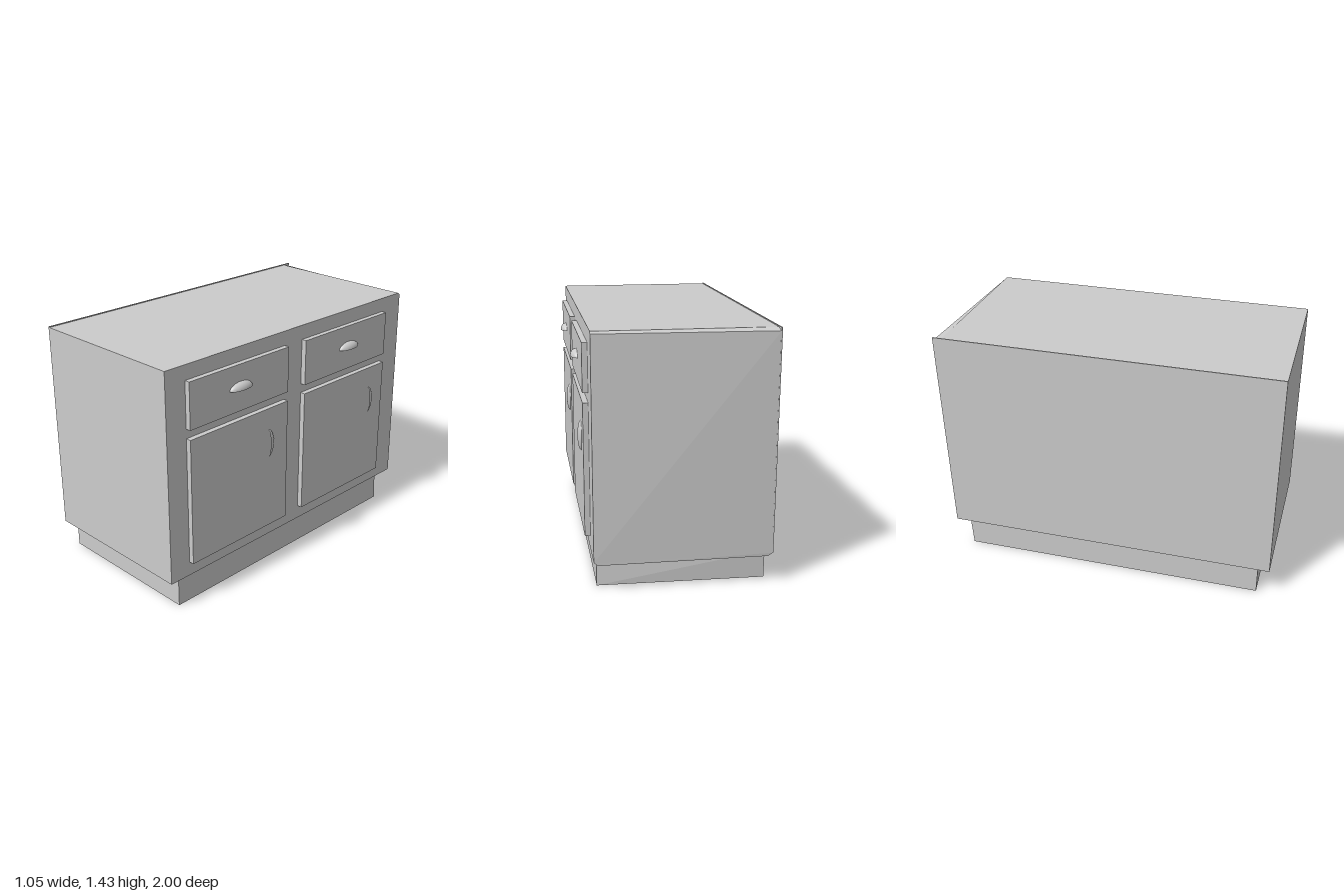
import * as THREE from 'three';

const material = new THREE.MeshStandardMaterial({ color: 0xcccccc });
const flat = new THREE.MeshStandardMaterial({ color: 0xcccccc, flatShading: true });
const thin = new THREE.MeshStandardMaterial({ color: 0xcccccc, side: THREE.DoubleSide });

// Four-cornered rings stacked upward: [y, xMin, xMax, zFront, zRearAtXMin, zRearAtXMax]
function stack(rings) {
  const pos = [], index = [];
  for (const [y, x0, x1, z, za, zb] of rings) pos.push(x0, y, z, x1, y, z, x1, y, zb, x0, y, za);
  for (let r = 0; r < rings.length - 1; r++) {
    for (let i = 0; i < 4; i++) {
      const a = r * 4 + i, b = r * 4 + (i + 1) % 4;
      index.push(a, b, b + 4, a, b + 4, a + 4);
    }
  }
  const t = (rings.length - 1) * 4;
  index.push(0, 2, 1, 0, 3, 2, t, t + 1, t + 2, t, t + 2, t + 3);
  const g = new THREE.BufferGeometry();
  g.setAttribute('position', new THREE.Float32BufferAttribute(pos, 3));
  g.setIndex(index);
  const out = g.toNonIndexed();
  out.computeVertexNormals();
  return out;
}

export function createModel() {
  const model = new THREE.Group();
  model.name = 'cabinet';
  const add = (name, geometry, mat = material) => {
    const mesh = new THREE.Mesh(geometry, mat);
    mesh.name = name;
    model.add(mesh);
    return mesh;
  };
  const panel = (name, x0, x1, y0, y1, z0, z1) =>
    add(name, new THREE.BoxGeometry(x1 - x0, y1 - y0, z1 - z0))
      .position.set((x0 + x1) / 2, (y0 + y1) / 2, (z0 + z1) / 2);

  // Recessed plinth
  add('plinth', stack([
    [0, -0.5, 0.435, 0.93, -0.88, -0.855],
    [0.162, -0.5, 0.435, 0.93, -0.89, -0.845],
  ]), flat);

  // Carcass with a bevelled lower edge and a slightly skewed end
  add('carcass', stack([
    [0.162, -0.5, 0.435, 0.93, -0.968, -0.962],
    [0.18, -0.523, 0.458, 1, -0.97, -0.962],
    [1.412, -0.523, 0.458, 1, -0.998, -0.955],
    [1.425, -0.523, 0.458, 1, -0.95, -0.942],
  ]), flat);

  // Thin back panel, just proud of the top
  add('backPanel', stack([
    [0.18, -0.527, -0.52, 1, -0.97, -0.97],
    [1.43, -0.527, -0.52, 1, -1, -1],
  ]), flat);

  // Hollow cup pull: a quarter of an ellipsoid
  const cup = new THREE.SphereGeometry(1, 28, 10, Math.PI / 2, Math.PI, 0, Math.PI / 2);

  // Two bays, each with a drawer above a door
  for (const [z0, z1, drawerZ, doorZ] of [[0.115, 0.865, 0.495, 0.272], [-0.78, -0.03, -0.418, -0.637]]) {
    panel('drawerFront', 0.458, 0.489, 1.07, 1.34, z0, z1);
    panel('door', 0.458, 0.489, 0.265, 1.015, z0, z1);

    const drawerPull = add('drawerPull', cup, thin);
    drawerPull.scale.set(0.036, 0.04, 0.083);
    drawerPull.position.set(0.489, 1.202, drawerZ);

    const doorPull = add('doorPull', cup, thin);
    doorPull.scale.set(0.02, 0.04, 0.085);
    doorPull.rotation.x = -Math.PI / 2;
    doorPull.position.set(0.489, 0.8, doorZ);
  }
  return model;
}
